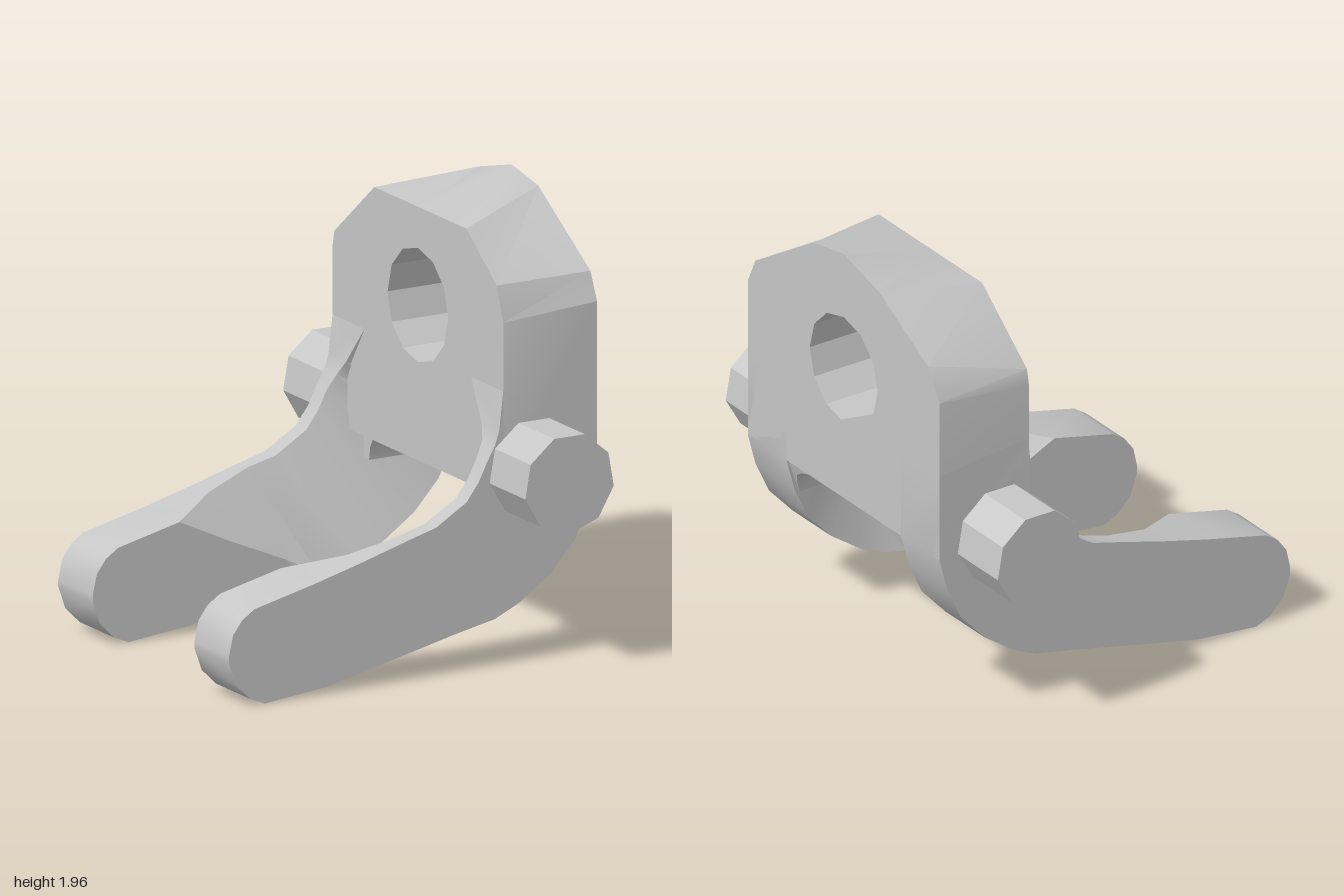
import * as THREE from 'three';
import { toCreasedNormals } from 'three/addons/utils/BufferGeometryUtils.js';

const SIDE = 0.705; // half width across the arms
const SLOT = 0.42; // half width of the gap between the arms

// Shape drawn in (z, y), extruded along x from x0 to x1
function extrudeAlongX(points, x0, x1, hole) {
  const toShape = (list) => list.map(([z, y]) => new THREE.Vector2(-z, y));
  const shape = new THREE.Shape(toShape(points));
  if (hole) shape.holes.push(new THREE.Path(toShape(hole)));
  const geometry = new THREE.ExtrudeGeometry(shape, { depth: x1 - x0, bevelEnabled: false });
  return geometry.rotateY(Math.PI / 2).translate(x0, 0, 0);
}

// Upright plate: each row is z, y on the inner face and z, y on the outer face
function plateGeometry() {
  const rim = [
    [0.705, 0.73, 0.705, 0.8],
    [0.705, 1.5, 0.705, 1.53],
    [0.65, 1.65, 0.65, 1.65],
    [0.4, 1.84, 0.22, 1.92],
    [0, 1.84, 0, 1.96],
    [-0.36, 1.84, -0.26, 1.89],
    [-0.69, 1.57, -0.62, 1.69],
    [-0.705, 1.5, -0.705, 1.55],
    [-0.705, 0.73, -0.705, 0.8],
  ];
  const hole = [];
  for (let i = 0; i < 12; i++) {
    const a = (i / 12) * Math.PI * 2;
    hole.push([-0.25 * Math.cos(a), 1.41 + 0.25 * Math.sin(a)]);
  }
  const geometry = extrudeAlongX(rim, 0.44, 0.9, hole);
  const pos = geometry.attributes.position;
  for (let i = 0; i < pos.count; i++) {
    if (pos.getX(i) < 0.8) continue;
    const row = rim.find(([z, y]) =>
      Math.abs(z - pos.getZ(i)) + Math.abs(y - pos.getY(i)) < 1e-4);
    if (row) pos.setXYZ(i, 0.9, row[3], row[2]);
  }
  return toCreasedNormals(geometry, 0.4);
}

// Curved arm lofted from five-cornered sections, its inner top edge cut away
function armGeometry(side) {
  // top x, top y, bottom x, bottom y, inner z of the top edge, height of the upright inner wall
  const stations = [
    [-0.905, 0.23, -0.905, 0.2, 0.42, 1],
    [-0.885, 0.32, -0.87, 0.1, 0.42, 1],
    [-0.84, 0.38, -0.8, 0.03, 0.42, 1],
    [-0.78, 0.42, -0.73, 0, 0.42, 1],
    [-0.48, 0.49, -0.43, 0.03, 0.42, 1],
    [-0.25, 0.55, -0.2, 0.08, 0.57, 0.62],
    [-0.02, 0.615, 0.06, 0.138, 0.63, 0.24],
    [0.11, 0.65, 0.2, 0.17, 0.62, 0],
    [0.26, 0.74, 0.4, 0.21, 0.62, 0],
    [0.32, 0.82, 0.52, 0.265, 0.62, 0],
    [0.36, 0.9, 0.67, 0.37, 0.62, 0],
    [0.4, 0.97, 0.79, 0.5, 0.6, 0],
    [0.42, 1.03, 0.86, 0.65, 0.56, 0],
    [0.44, 1.2, 0.9, 0.8, 0.44, 0],
    [0.45, 1.25, 0.9, 1.2, 0.44, 0],
  ];
  const positions = [];
  const index = [];
  const triangle = (a, b, c) => index.push(...(side > 0 ? [a, b, c] : [a, c, b]));
  stations.forEach(([tx, ty, bx, by, z, f], i) => {
    positions.push(
      tx, ty, side * SIDE,
      tx, ty, side * z,
      bx + (tx - bx) * f, by + (ty - by) * f, side * SLOT,
      bx, by, side * SLOT,
      bx, by, side * SIDE,
    );
    if (i === 0) return;
    for (let k = 0; k < 5; k++) {
      const a = (i - 1) * 5 + k;
      const b = (i - 1) * 5 + ((k + 1) % 5);
      triangle(a, a + 5, b + 5);
      triangle(a, b + 5, b);
    }
  });
  const e = (stations.length - 1) * 5;
  for (let k = 1; k < 4; k++) {
    triangle(0, k, k + 1);
    triangle(e, e + k + 1, e + k);
  }
  const geometry = new THREE.BufferGeometry();
  geometry.setAttribute('position', new THREE.Float32BufferAttribute(positions, 3));
  geometry.setIndex(index);
  return toCreasedNormals(geometry, 0.5);
}

// Rounded corner between an arm and the plate, following the curve of the arm's back
function filletGeometry(side) {
  const points = [[0.46, 0.82], [0.46, 0.63], [0.42, 0.63], [0.41, 0.69],
    [0.38, 0.74], [0.33, 0.77], [0.25, 0.8], [0.25, 0.82]];
  const geometry = extrudeAlongX(points.map(([z, y]) => [side * z, y]), 0.45, 0.895);
  const pos = geometry.attributes.position;
  for (let i = 0; i < pos.count; i++) {
    if (pos.getX(i) > 0.8) pos.setX(i, 0.895 - Math.max(0, 0.8 - pos.getY(i)) * 0.37);
  }
  return toCreasedNormals(geometry, 0.6);
}

export function createModel() {
  const model = new THREE.Group();
  model.name = 'forkedBracket';
  const metal = new THREE.MeshStandardMaterial({ color: 0xc6c6c6 });
  metal.name = 'grey metal';

  const add = (name, geometry) => {
    const mesh = new THREE.Mesh(geometry, metal);
    mesh.name = name;
    model.add(mesh);
    return mesh;
  };

  add('plate', plateGeometry());
  for (const side of [1, -1]) {
    const prefix = side > 0 ? 'front' : 'back';
    add(prefix + 'Arm', armGeometry(side));
    add(prefix + 'Fillet', filletGeometry(side));

    // Faceted pivot pin
    const pin = new THREE.CylinderGeometry(0.22, 0.22, 0.35, 9);
    pin.rotateX(Math.PI / 2);
    add(prefix + 'Pin', toCreasedNormals(pin, 0.5))
      .position.set(0.59, 0.845, side * 0.825);
  }
  return model;
}
